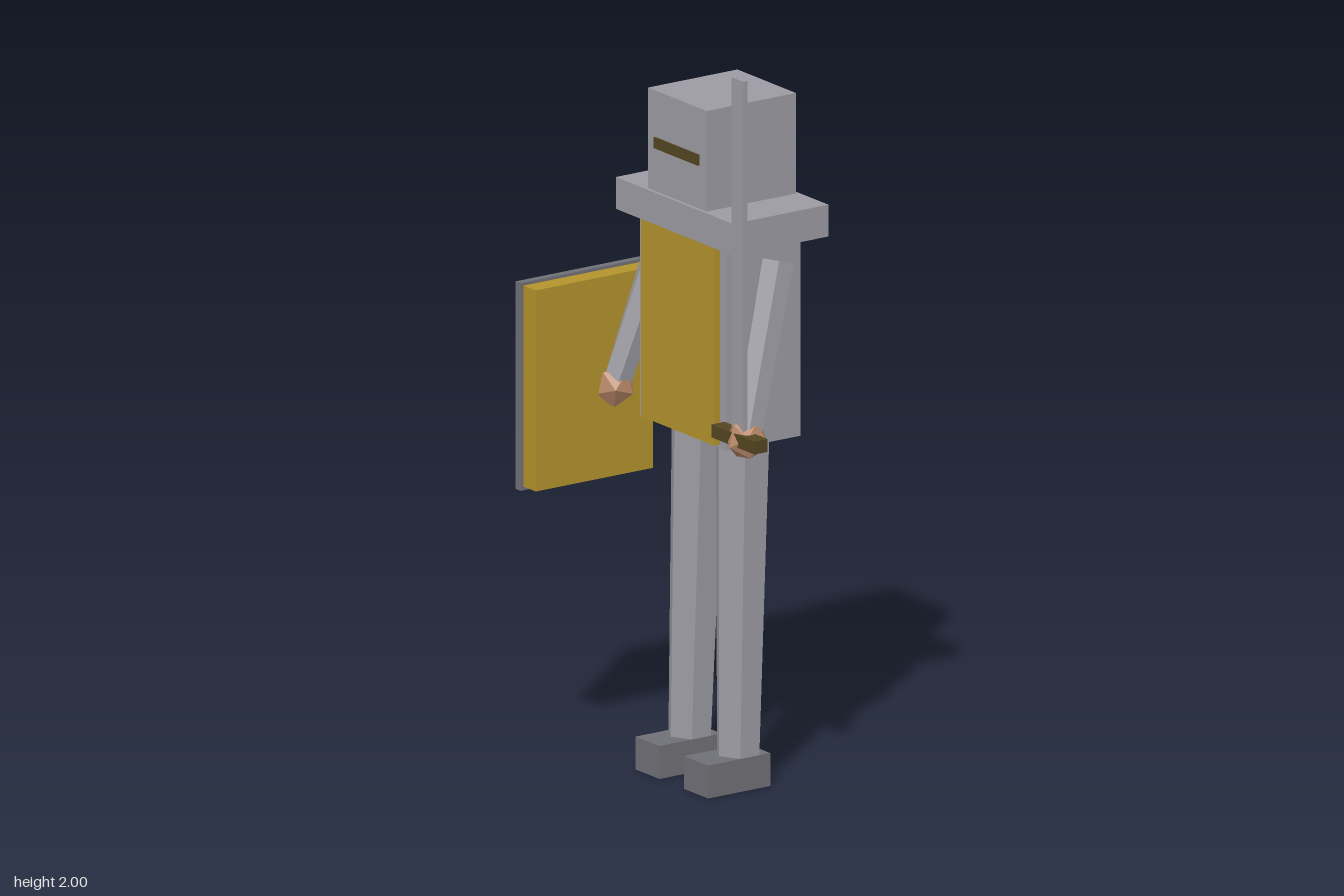
import * as THREE from 'three';

const CX = -0.0135; // the body's own centre line

function material(name, color) {
  const m = new THREE.MeshStandardMaterial({ color });
  m.name = name;
  return m;
}

export function createModel() {
  const steel = material('steel', 0x9c9ba3);
  const darkSteel = material('darkSteel', 0x6f6f76);
  const gold = material('gold', 0xb3932d);
  const bronze = material('darkBronze', 0x534621);
  const skin = material('skin', 0xb58566);

  const model = new THREE.Group();
  model.name = 'knight';

  function add(name, geometry, mat, parent = model) {
    const mesh = new THREE.Mesh(geometry, mat);
    mesh.name = name;
    parent.add(mesh);
    return mesh;
  }

  // Box given by its lower and upper limits on each axis
  function box(name, mat, [x0, x1], [y0, y1], [z0, z1], parent) {
    const mesh = add(name, new THREE.BoxGeometry(x1 - x0, y1 - y0, z1 - z0), mat, parent);
    mesh.position.set((x0 + x1) / 2, (y0 + y1) / 2, (z0 + z1) / 2);
    return mesh;
  }

  // Six-sided tapered limb between two points, with flat faces
  function limb(name, mat, top, bottom, rTop, rBottom) {
    const axis = top.clone().sub(bottom);
    const geo = new THREE.CylinderGeometry(rTop, rBottom, axis.length(), 6).toNonIndexed();
    geo.computeVertexNormals();
    const mesh = add(name, geo, mat);
    mesh.position.copy(top).add(bottom).multiplyScalar(0.5);
    mesh.quaternion.setFromUnitVectors(new THREE.Vector3(0, 1, 0), axis.normalize());
    return mesh;
  }

  // Head and trunk
  box('helmet', steel, [-0.145, 0.12], [1.595, 1.87], [-0.267, 0.02]);
  box('visorSlit', bronze, [-0.113, 0.087], [1.713, 1.743], [0.018, 0.025]);
  box('shoulderPlate', steel, [-0.277, 0.253], [1.508, 1.595], [-0.277, 0.03]);
  box('torso', steel, [-0.21, 0.183], [0.953, 1.508], [-0.237, 0.0]);
  box('breastplate', gold, [-0.18, 0.152], [0.962, 1.508], [-0.005, 0.018]);

  // Limbs, mirrored about the centre line
  for (const [side, s] of [['left', 1], ['right', -1]]) {
    const at = (x, y, z) => new THREE.Vector3(CX + s * x, y, z);

    limb(side + 'Leg', steel, at(0.1, 0.97, -0.12), at(0.11, 0.08, -0.098), 0.077, 0.061);
    const foot = CX + s * 0.11;
    box(side + 'Foot', darkSteel, [foot - 0.054, foot + 0.054], [0, 0.09], [-0.163, 0.037]);

    const arm = limb(side + 'Arm', steel, at(0.2385, 1.46, -0.132), at(0.296, 1.03, 0.004), 0.048, 0.042);
    const hand = add(side + 'Hand', new THREE.IcosahedronGeometry(0.058, 0), skin);
    hand.position.copy(at(0.3, 1.012, 0.01));
    hand.quaternion.copy(arm.quaternion);
  }

  // Sword in the left hand
  const sword = new THREE.Group();
  sword.name = 'sword';
  model.add(sword);
  box('blade', steel, [0.26, 0.313], [1.03, 2.0], [0.025, 0.039], sword);
  box('crossguard', bronze, [0.188, 0.383], [1.0, 1.035], [0.01, 0.053], sword);

  // Shield beside the right hand
  const shield = new THREE.Group();
  shield.name = 'shield';
  model.add(shield);
  box('shieldFace', darkSteel, [-0.387, -0.365], [0.757, 1.325], [-0.123, 0.274], shield);
  box('shieldBody', gold, [-0.365, -0.31], [0.767, 1.317], [-0.113, 0.264], shield);

  return model;
}
